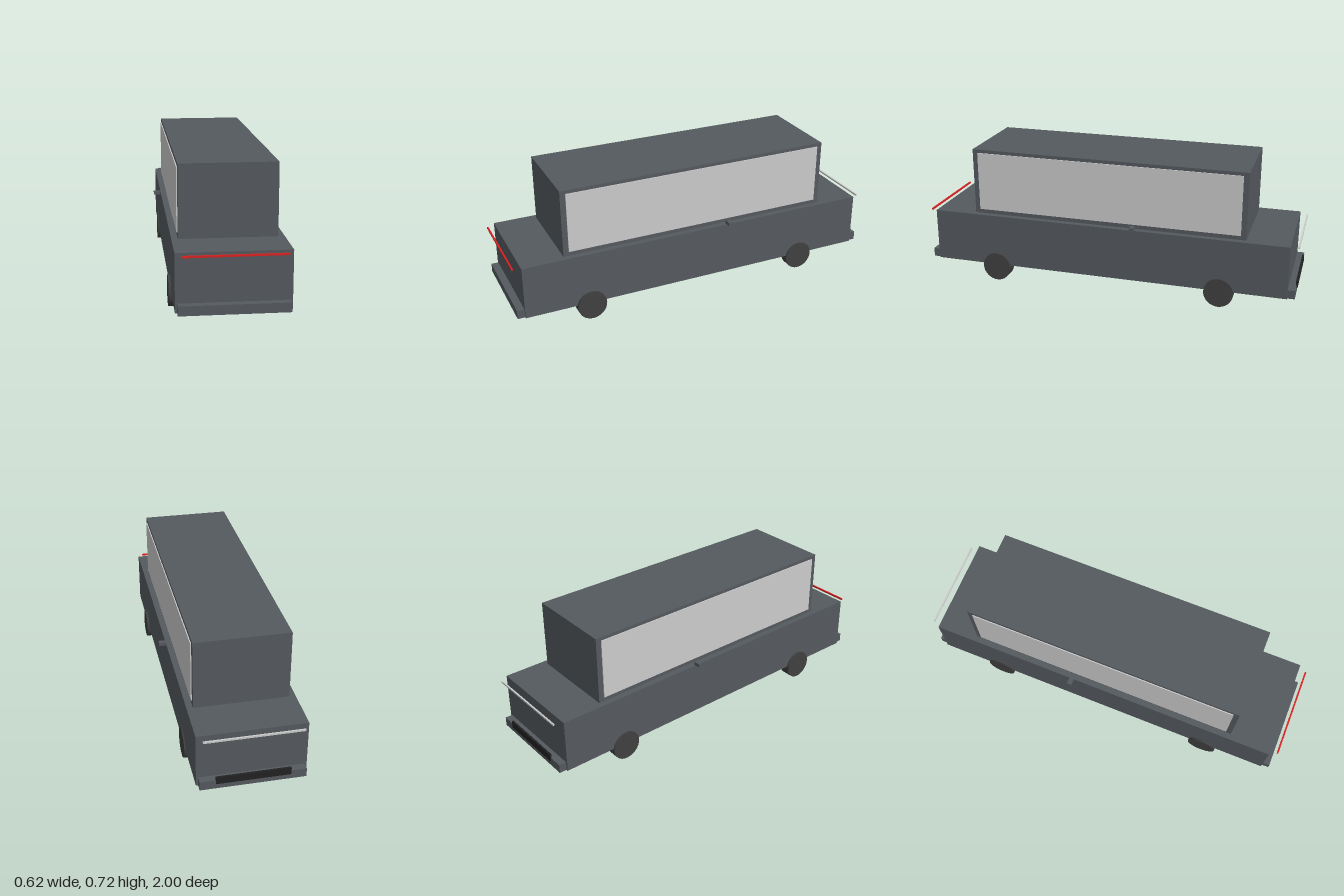
import * as THREE from 'three';

const material = (color) => new THREE.MeshStandardMaterial({ color });

export function createModel() {
  const model = new THREE.Group();
  const paint = material(0x555a5f);
  const rubber = material(0x404040);
  const glass = material(0xcccccc);

  // Box given by its size and centre
  const box = (name, mat, [w, h, d], [x, y, z]) => {
    const mesh = new THREE.Mesh(new THREE.BoxGeometry(w, h, d), mat);
    mesh.name = name;
    mesh.position.set(x, y, z);
    model.add(mesh);
  };

  // Lower body and tall cabin
  box('body', paint, [0.532, 0.28, 1.914], [0, 0.227, 0]);
  box('cabin', paint, [0.47, 0.356, 1.47], [0, 0.544, 0]);

  // Bumpers, light bars and grille at the two ends
  for (const s of [1, -1]) {
    box(s > 0 ? 'frontBumper' : 'backBumper', paint, [0.512, 0.046, 0.038], [0, 0.11, s * 0.976]);
  }
  box('redLightBar', material(0xdd2222), [0.48, 0.009, 0.008], [0, 0.3595, 0.996]);
  box('whiteLightBar', material(0xffffff), [0.48, 0.009, 0.008], [0, 0.3595, -0.996]);
  box('grille', material(0x222222), [0.36, 0.038, 0.01], [0, 0.134, -0.995]);

  // Front wheels are slightly wider than the back ones
  const addWheel = (name, side, z, inner, outer) => {
    const geometry = new THREE.CylinderGeometry(0.077, 0.077, outer - inner, 32);
    geometry.rotateZ(Math.PI / 2);
    const wheel = new THREE.Mesh(geometry, rubber);
    wheel.name = name;
    wheel.position.set(side * (inner + outer) / 2, 0.077, z);
    model.add(wheel);
  };

  // Parts mirrored on the two sides
  for (const [side, label] of [[1, 'left'], [-1, 'right']]) {
    box(label + 'Window', glass, [0.01, 0.314, 1.414], [side * 0.235, 0.547, 0]);
    box(label + 'Mirror', paint, [0.037, 0.018, 0.024], [side * 0.29, 0.388, -0.157]);
    addWheel(label + 'FrontWheel', side, 0.61, 0.219, 0.278);
    addWheel(label + 'BackWheel', side, -0.61, 0.219, 0.272);
  }

  return model;
}
